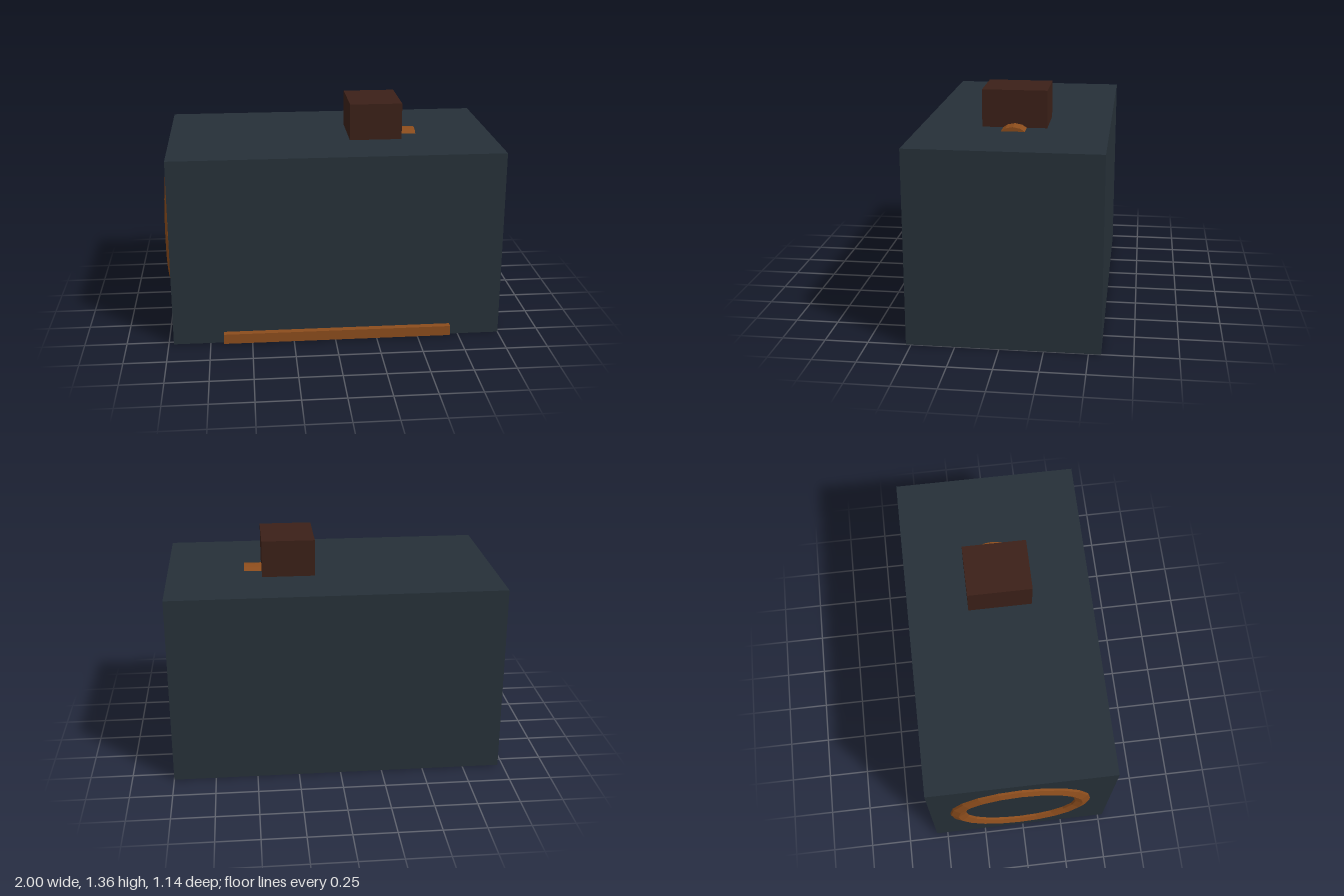
import * as THREE from 'three';

const paint = (color) => new THREE.MeshStandardMaterial({ color, flatShading: true });

export function createModel() {
  const model = new THREE.Group();
  const slate = paint(0x263038);
  const copper = paint(0x8b4c1c);
  const brown = paint(0x3b2018);

  const add = (name, geometry, material, x, y, z) => {
    const mesh = new THREE.Mesh(geometry, material);
    mesh.name = name;
    mesh.position.set(x, y, z);
    model.add(mesh);
    return mesh;
  };

  // Box given by its minimum and maximum corners
  const addBox = (name, material, [x0, y0, z0], [x1, y1, z1]) =>
    add(name, new THREE.BoxGeometry(x1 - x0, y1 - y0, z1 - z0), material,
      (x0 + x1) / 2, (y0 + y1) / 2, (z0 + z1) / 2);

  // Main housing with the block on its roof and the strip along its front foot
  addBox('body', slate, [-0.97, 0, -0.57], [1, 1.14, 0.53]);
  addBox('topBlock', brown, [0.12, 1.13, -0.21], [0.435, 1.36, 0.17]);
  addBox('frontStrip', copper, [-0.67, 0.01, 0.51], [0.695, 0.07, 0.57]);

  // Half-sunk pipe coming out of the block, lying along x
  const pipe = new THREE.CylinderGeometry(0.112, 0.112, 0.2, 16).rotateZ(Math.PI / 2);
  add('pipe', pipe, copper, 0.44, 1.054, -0.022);

  // Faceted ring set into the right-hand end
  const ring = new THREE.TorusGeometry(0.38, 0.06, 8, 20).rotateY(Math.PI / 2);
  add('sideRing', ring, copper, -0.94, 0.61, -0.025);

  return model;
}
